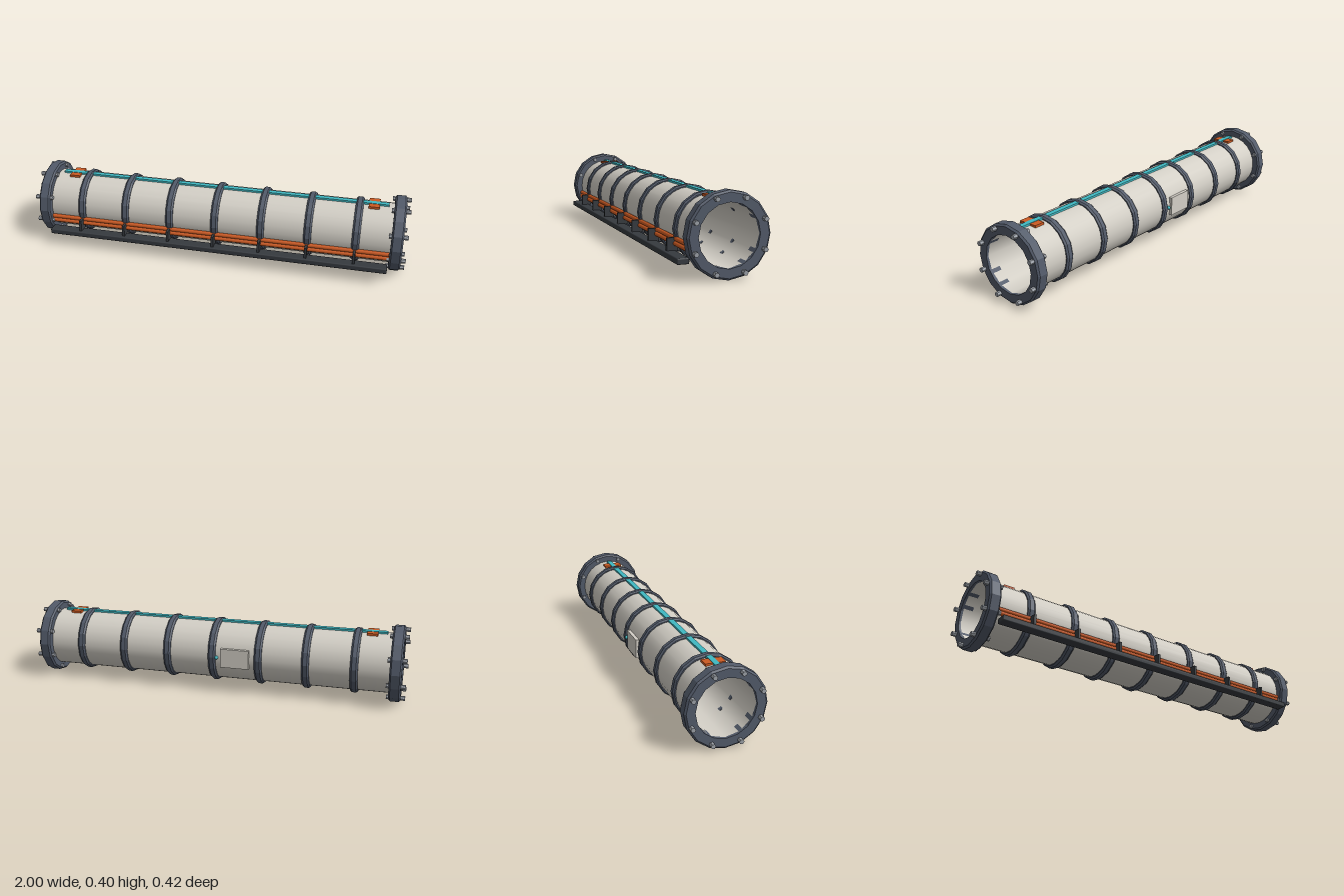
import * as THREE from 'three';
import { RoundedBoxGeometry } from 'three/addons/geometries/RoundedBoxGeometry.js';

const CY = 0.198, CZ = -0.009; // tube axis

export function createModel() {
  const group = new THREE.Group();
  const mat = (name, color) => {
    const m = new THREE.MeshStandardMaterial({ color });
    m.name = name;
    return m;
  };
  const shell = mat('shell white', 0xd3cfc6);
  const steel = mat('slate steel', 0x525a69);
  const rubber = mat('dark rail', 0x363a3f);
  const orange = mat('orange', 0xcc5a22);
  const cyan = mat('cyan', 0x40b8c2);
  const boltGrey = mat('bolt grey', 0x9a9fa6);

  const add = (name, geometry, material, x, y, z) => {
    const mesh = new THREE.Mesh(geometry, material);
    mesh.name = name;
    mesh.position.set(x, y, z);
    group.add(mesh);
    return mesh;
  };
  const box = (w, h, d) => new THREE.BoxGeometry(w, h, d);
  // Revolve [radius, x] points around the x axis
  const revolve = (points, sides, flat) => {
    let g = new THREE.LatheGeometry(points.map(([r, x]) => new THREE.Vector2(r, x)), sides);
    g.rotateZ(-Math.PI / 2);
    if (flat) {
      g = g.toNonIndexed();
      g.computeVertexNormals();
    }
    return g;
  };

  // Hollow tube: outer skin and inner liner
  add('tubeSkin', revolve([[0.156, -0.94], [0.156, 0.94]], 24), shell, 0, CY, CZ);
  add('tubeLiner', revolve([[0.146, 0.965], [0.146, -0.965]], 12), shell, 0, CY, CZ);

  // Chamfered hoops around the tube
  const rib = revolve([
    [0.146, -0.011], [0.157, -0.02], [0.163, -0.02], [0.17, -0.011],
    [0.17, 0.011], [0.163, 0.02], [0.157, 0.02], [0.146, 0.011], [0.146, -0.011],
  ], 16, true);
  const ribX = [-3, -2, -1, 0, 1, 2, 3].map((k) => k * 0.247);
  for (const x of ribX) add('hoop', rib, steel, x, CY, CZ);

  // End flanges with a ring of eight hex bolts
  const flange = revolve([
    [0.146, -0.03], [0.189, -0.03], [0.198, -0.022], [0.198, 0.022],
    [0.189, 0.03], [0.146, 0.03], [0.146, -0.03],
  ], 16, true);
  const bolt = new THREE.CylinderGeometry(0.012, 0.012, 0.096, 6).toNonIndexed();
  bolt.rotateZ(Math.PI / 2);
  bolt.computeVertexNormals();
  for (const side of [-1, 1]) {
    add('flange', flange, steel, side * 0.947, CY, CZ);
    for (let i = 0; i < 8; i++) {
      const a = (i + 0.5) * Math.PI / 4;
      add('bolt', bolt, boltGrey, side * 0.952, CY + 0.177 * Math.sin(a), CZ + 0.177 * Math.cos(a));
    }
    // Orange pads under the ends of the top strip
    add('topPad', box(0.056, 0.012, 0.1), orange, side * 0.815, 0.354, CZ);
  }

  // Top strip
  add('topStrip', box(1.78, 0.012, 0.028), cyan, 0, 0.356, CZ);

  // Pair of pipes along the front
  const pipe = new THREE.CylinderGeometry(0.011, 0.011, 1.83, 12);
  pipe.rotateZ(Math.PI / 2);
  add('upperPipe', pipe, orange, 0, 0.153, 0.148);
  add('lowerPipe', pipe, orange, 0, 0.132, 0.152);

  // Lower rail on brackets
  add('rail', new RoundedBoxGeometry(1.824, 0.029, 0.058, 2, 0.006), rubber, 0, 0.086, 0.179);
  for (const x of ribX) add('railBracket', box(0.013, 0.063, 0.055), rubber, x, 0.128, 0.1655);

  // Rear access panel with a status lamp
  add('rearPanel', box(0.15, 0.1, 0.018), shell, -0.125, CY, -0.167);
  add('lamp', new THREE.SphereGeometry(0.01, 12, 8), cyan, -0.027, CY, -0.172);

  return group;
}
